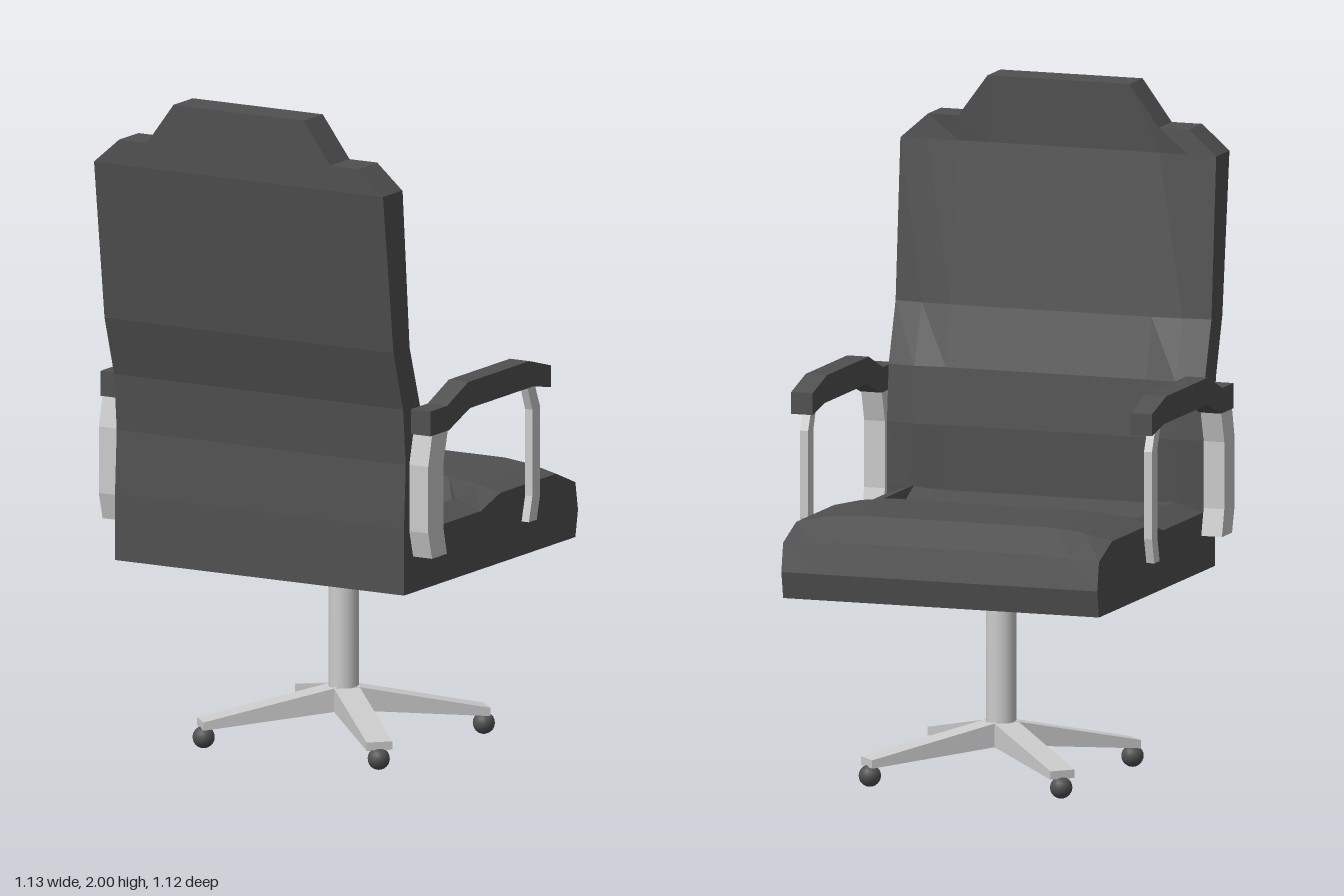
import * as THREE from 'three';

const metal = new THREE.MeshStandardMaterial({ color: 0xcccccc, flatShading: true });
const metalSmooth = new THREE.MeshStandardMaterial({ color: 0xcccccc });
const leather = new THREE.MeshStandardMaterial({ color: 0x505050, flatShading: true });
const rubber = new THREE.MeshStandardMaterial({ color: 0x505050 });

function add(parent, name, geometry, material) {
  const mesh = new THREE.Mesh(geometry, material);
  mesh.name = name;
  parent.add(mesh);
  return mesh;
}

// Closed loft: each section is a ring of n points one way and n points back.
function loft(sections) {
  const pos = [];
  const quad = (a, b, c, d) => pos.push(...a, ...b, ...c, ...a, ...c, ...d);
  const m = sections[0].length, n = m / 2;
  for (let j = 0; j < sections.length - 1; j++) {
    const s = sections[j], t = sections[j + 1];
    for (let i = 0; i < m; i++) {
      const k = (i + 1) % m;
      quad(s[i], t[i], t[k], s[k]);
    }
  }
  const first = sections[0], last = sections[sections.length - 1];
  for (let i = 0; i < n - 1; i++) {
    quad(first[i], first[i + 1], first[m - 2 - i], first[m - 1 - i]);
    quad(last[m - 1 - i], last[m - 2 - i], last[i + 1], last[i]);
  }
  const g = new THREE.BufferGeometry();
  g.setAttribute('position', new THREE.Float32BufferAttribute(pos, 3));
  g.computeVertexNormals();
  return g;
}

// Mirror a half row of [x, ...] points (outer to inner) into a full row from -x to +x.
const mirrorRow = (half) => [
  ...half.map(([x, y, z]) => [-x, y, z]),
  ...half.slice().reverse(),
];

// Side profile extruded to a centred width
function slab(profile, width) {
  const shape = new THREE.Shape(profile.map(([a, y]) => new THREE.Vector2(a, y)));
  const g = new THREE.ExtrudeGeometry(shape, { depth: width, bevelEnabled: false });
  return g.translate(0, 0, -width / 2);
}

// Seat with side ridges, a raised front lip and a sunken middle
function seatGeometry() {
  // z top, z bottom, edge height, ridge height, middle height, middle half width
  const rows = [
    [-0.555, -0.54, 0.66, 0.66, 0.66, 0.32],
    [-0.54, -0.5, 0.745, 0.75, 0.755, 0.32],
    [-0.43, -0.43, 0.79, 0.81, 0.82, 0.32],
    [-0.11, -0.11, 0.79, 0.81, 0.82, 0.32],
    [0, 0, 0.755, 0.785, 0.75, 0.4],
    [0.22, 0.22, 0.755, 0.785, 0.75, 0.4],
    [0.335, 0.335, 0.755, 0.785, 0.775, 0.32],
  ];
  return loft(rows.map(([z, zb, e, r, c, w]) => [
    ...mirrorRow([[0.496, e, z], [0.41, r, z], [w, c, z]]),
    ...mirrorRow([[0.496, 0.58, zb], [0.41, 0.58, zb], [0.32, 0.58, zb]]).reverse(),
  ]));
}

// Curved backrest with stepped shoulders
function backrestGeometry() {
  const xs = [0.496, 0.41, 0.315, 0.223];
  const topY = [1.8, 1.875, 1.875, 2];
  // height, then z of edge, ridge, middle and rear face
  const rows = [
    [0.58, 0.335, 0.335, 0.335, 0.44],
    [0.78, 0.335, 0.325, 0.335, 0.44],
    [0.97, 0.335, 0.32, 0.33, 0.43],
    [1.14, 0.35, 0.335, 0.345, 0.445],
    [1.32, 0.408, 0.397, 0.39, 0.5],
    [1.8, 0.448, 0.445, 0.455, 0.56],
    [2, 0.45, 0.45, 0.45, 0.56],
  ];
  return loft(rows.map(([y, e, r, c, back]) => {
    const front = [e, r, c, c];
    const h = (i) => Math.min(y, topY[i]);
    return [
      ...mirrorRow(xs.map((x, i) => [x, h(i), front[i]])),
      ...mirrorRow(xs.map((x, i) => [x, h(i), back])).reverse(),
    ];
  }));
}

export function createModel() {
  const chair = new THREE.Group();
  chair.name = 'officeChair';

  add(chair, 'seat', seatGeometry(), leather);
  add(chair, 'backrest', backrestGeometry(), leather);

  // Arms: pad and two bent posts, profiles as (z, y)
  const padProfile = [[0.405, 1.06], [0.405, 1.135], [0.31, 1.135], [0.19, 1.185], [-0.16, 1.185],
    [-0.283, 1.15], [-0.283, 1.085], [-0.18, 1.105], [0.18, 1.105], [0.3, 1.06]];
  const rearProfile = [[0.395, 1.06], [0.417, 0.97], [0.417, 0.77], [0.395, 0.69], [0.31, 0.69],
    [0.33, 0.77], [0.33, 0.97], [0.305, 1.06]];
  const frontProfile = [[-0.17, 1.107], [-0.2, 1.03], [-0.2, 0.77], [-0.18, 0.695], [-0.225, 0.695],
    [-0.245, 0.77], [-0.245, 1.03], [-0.215, 1.1]];
  for (const [side, sx] of [['left', 1], ['right', -1]]) {
    const arm = new THREE.Group();
    arm.name = side + 'Arm';
    const part = (name, profile, width, x, material) => {
      const mesh = add(arm, name, slab(profile, width), material);
      mesh.rotation.y = -Math.PI / 2;
      mesh.position.x = sx * x;
    };
    part('armPad', padProfile, 0.067, 0.533, leather);
    part('rearArmPost', rearProfile, 0.065, 0.533, metal);
    part('frontArmPost', frontProfile, 0.025, 0.54, metal);
    chair.add(arm);
  }

  // Swivel base: column, four tapered legs on the diagonals, ball casters
  const base = new THREE.Group();
  base.name = 'base';
  base.position.set(-0.008, 0, -0.055);
  const column = add(base, 'column', new THREE.CylinderGeometry(0.045, 0.045, 0.43, 24), metalSmooth);
  column.position.y = 0.37;
  const legProfile = [[0, 0.1], [0.435, 0.06], [0.435, 0.085], [0, 0.175]];
  for (let i = 0; i < 4; i++) {
    const leg = new THREE.Group();
    leg.name = 'leg' + (i + 1);
    leg.rotation.y = Math.PI / 4 + (i * Math.PI) / 2;
    add(leg, 'legBar', slab(legProfile, 0.078), metal);
    const caster = add(leg, 'caster', new THREE.SphereGeometry(0.033, 16, 12), rubber);
    caster.position.set(0.425, 0.033, 0);
    base.add(leg);
  }
  chair.add(base);
  return chair;
}
